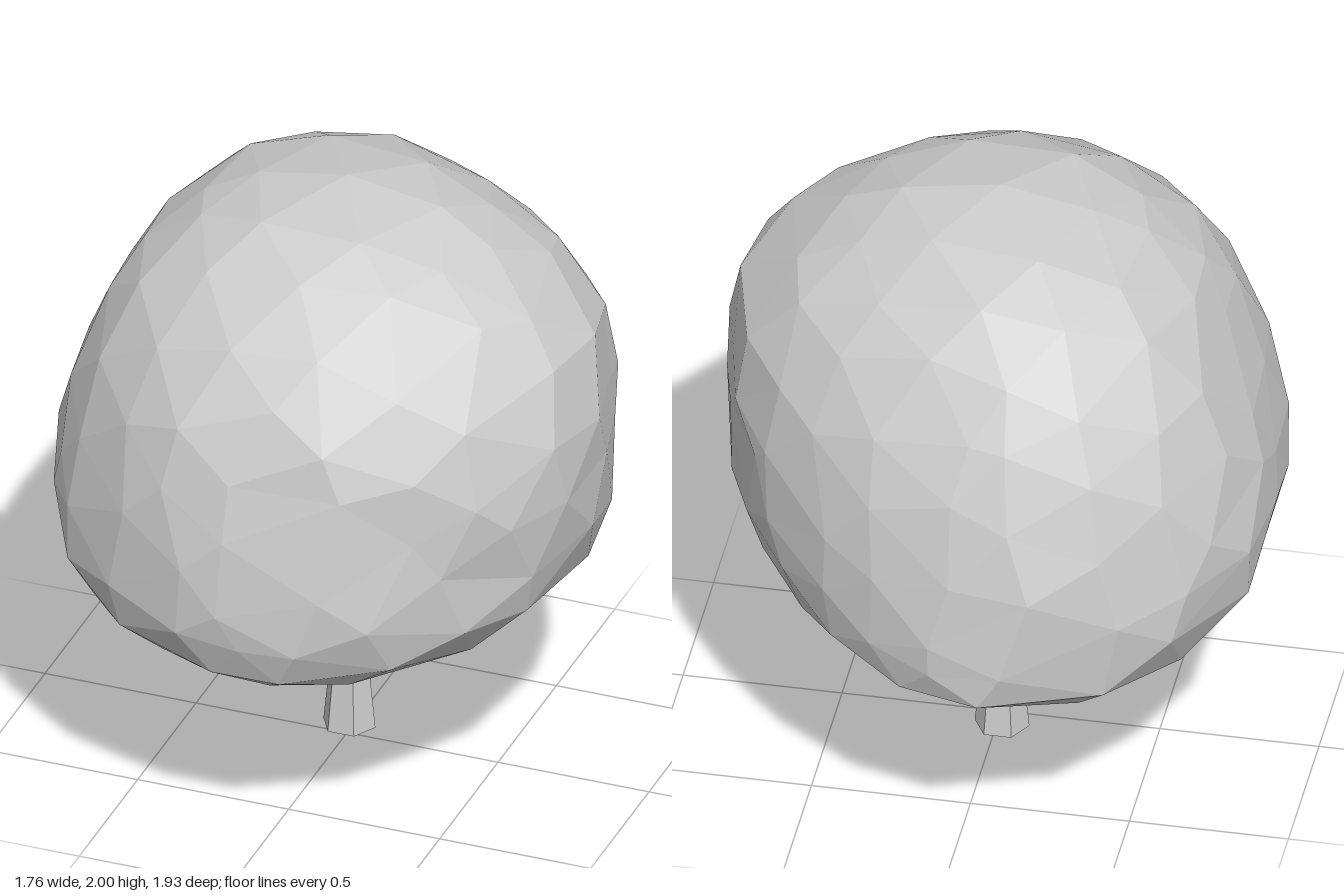
import * as THREE from 'three';
import { mergeVertices } from 'three/addons/utils/BufferGeometryUtils.js';

// Crown cross-sections, bottom to top: height, then reach to -x, +x, -z, +z
const SECTIONS = [
  [0.49, 0, 0, 0, 0],
  [0.50, 0.38, 0.27, 0.45, 0.38],
  [0.58, 0.61, 0.49, 0.80, 0.74],
  [0.70, 0.80, 0.73, 0.95, 0.92],
  [0.85, 0.875, 0.84, 0.96, 0.965],
  [1.05, 0.885, 0.88, 0.945, 0.95],
  [1.27, 0.84, 0.91, 0.89, 0.915],
  [1.50, 0.76, 0.88, 0.80, 0.84],
  [1.70, 0.645, 0.75, 0.68, 0.695],
  [1.86, 0.48, 0.50, 0.50, 0.49],
  [1.95, 0.28, 0.31, 0.31, 0.32],
  [2.00, 0, 0, 0, 0],
];

// Shallow hollows under the two overhanging lips: centre, depth, width
const HOLLOWS = [
  { at: new THREE.Vector3(0.87, 1.3, -0.08), depth: 0.06, width: 0.19 },
  { at: new THREE.Vector3(0.56, 1.13, 0.74), depth: 0.035, width: 0.17 },
];

function sectionAt(t) {
  const f = THREE.MathUtils.clamp(t, 0, 1) * (SECTIONS.length - 1);
  const i = Math.min(Math.floor(f), SECTIONS.length - 2);
  return SECTIONS[i].map((v, k) => THREE.MathUtils.lerp(v, SECTIONS[i + 1][k], f - i));
}

function seeded(seed) {
  return () => {
    seed = (seed * 16807) % 2147483647;
    return seed / 2147483647 - 0.5;
  };
}

// Faceted sphere remapped onto the crown's sections, with uneven corners
function crownGeometry() {
  const sphere = new THREE.IcosahedronGeometry(1, 3);
  sphere.deleteAttribute('normal');
  sphere.deleteAttribute('uv');
  const geo = mergeVertices(sphere, 1e-3);
  const pos = geo.attributes.position;
  const rand = seeded(4711);
  const p = new THREE.Vector3();
  for (let i = 0; i < pos.count; i++) {
    p.fromBufferAttribute(pos, i).normalize();
    const ring = Math.hypot(p.x, p.z);
    const t = 1 - Math.acos(THREE.MathUtils.clamp(p.y, -1, 1)) / Math.PI + rand() * 0.045 * ring;
    const a = Math.atan2(p.z, p.x) + rand() * 0.16;
    const c = Math.cos(a), s = Math.sin(a);
    const [y, right, left, back, front] = sectionAt(t);

    // Flattened on one back corner, fuller on the other
    const corner = s < 0 ? (c > 0 ? -0.075 : 0.08) : (c > 0 ? 0.01 : 0.03);
    const r = 1 + corner * Math.abs(2 * c * s) + rand() * 0.012;
    p.set(c * r * (c > 0 ? left : right), y, s * r * (s > 0 ? front : back));

    for (const { at, depth, width } of HOLLOWS) {
      const push = depth * Math.exp(-p.distanceToSquared(at) / width ** 2);
      p.x -= c * push;
      p.z -= s * push;
    }
    pos.setXYZ(i, p.x, p.y, p.z);
  }
  geo.computeVertexNormals();
  return geo;
}

export function createModel() {
  const group = new THREE.Group();
  group.name = 'tree';
  const material = new THREE.MeshStandardMaterial({ color: 0xcccccc, flatShading: true });

  const crown = new THREE.Mesh(crownGeometry(), material);
  crown.name = 'crown';

  // Six-sided trunk, flared at the foot and running up into the crown
  const profile = [[0, 0], [0.086, 0], [0.066, 0.2], [0.048, 0.48], [0.046, 0.6]]
    .map(([r, y]) => new THREE.Vector2(r, y));
  const trunk = new THREE.Mesh(new THREE.LatheGeometry(profile, 6, Math.PI / 2), material);
  trunk.name = 'trunk';
  trunk.position.set(-0.015, 0, -0.06);

  group.add(crown, trunk);
  return group;
}
